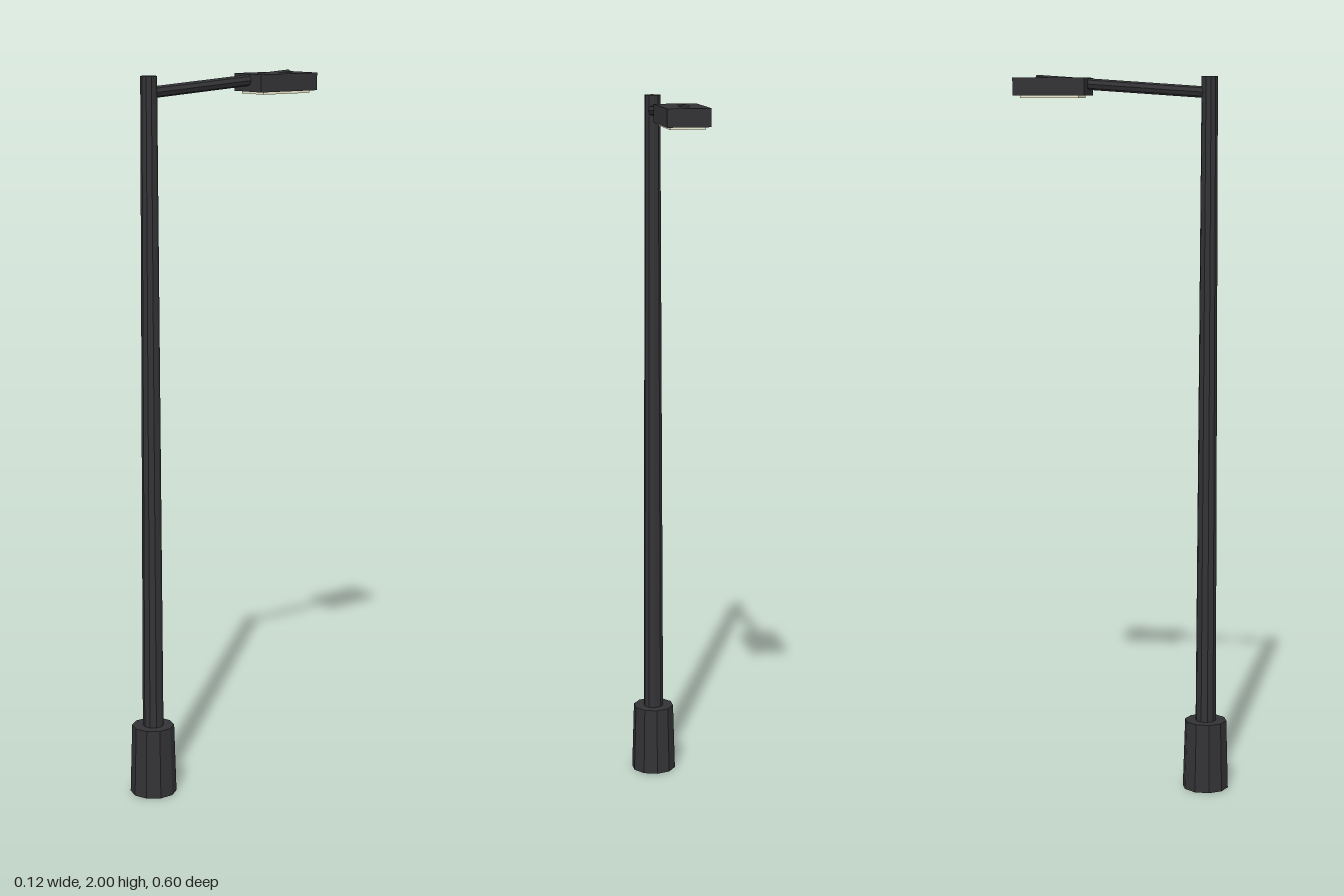
import * as THREE from 'three';

const metal = new THREE.MeshStandardMaterial({ color: 0x333336, flatShading: true });
const glass = new THREE.MeshStandardMaterial({ color: 0xf0ecd0, flatShading: true });

const POLE_Z = 0.235;

export function createModel() {
  const group = new THREE.Group();

  const add = (name, geometry, material, x, y, z) => {
    const mesh = new THREE.Mesh(geometry, material);
    mesh.name = name;
    mesh.position.set(x, y, z);
    group.add(mesh);
    return mesh;
  };

  // Upright tapered post part between two heights
  const post = (name, rTop, rBottom, y0, y1) =>
    add(name, new THREE.CylinderGeometry(rTop, rBottom, y1 - y0, 10), metal, 0, (y0 + y1) / 2, POLE_Z);

  post('base', 0.059, 0.0648, 0, 0.196);
  post('pole', 0.0222, 0.029, 0.19, 1.996);

  // Arm rising gently from the pole into the lamp head
  const from = new THREE.Vector3(0, 1.952, POLE_Z);
  const to = new THREE.Vector3(0, 1.9845, -0.246);
  const along = to.clone().sub(from);
  const mid = from.clone().add(to).multiplyScalar(0.5);
  const arm = add('arm', new THREE.CylinderGeometry(0.0155, 0.0155, along.length(), 8), metal, mid.x, mid.y, mid.z);
  arm.quaternion.setFromUnitVectors(new THREE.Vector3(0, 1, 0), along.normalize());

  // Lamp head with the light panel showing below it
  add('lampHead', new THREE.BoxGeometry(0.116, 0.048, 0.2), metal, 0, 1.968, -0.2);
  add('lightPanel', new THREE.BoxGeometry(0.094, 0.012, 0.164), glass, 0, 1.943, -0.2);

  return group;
}
